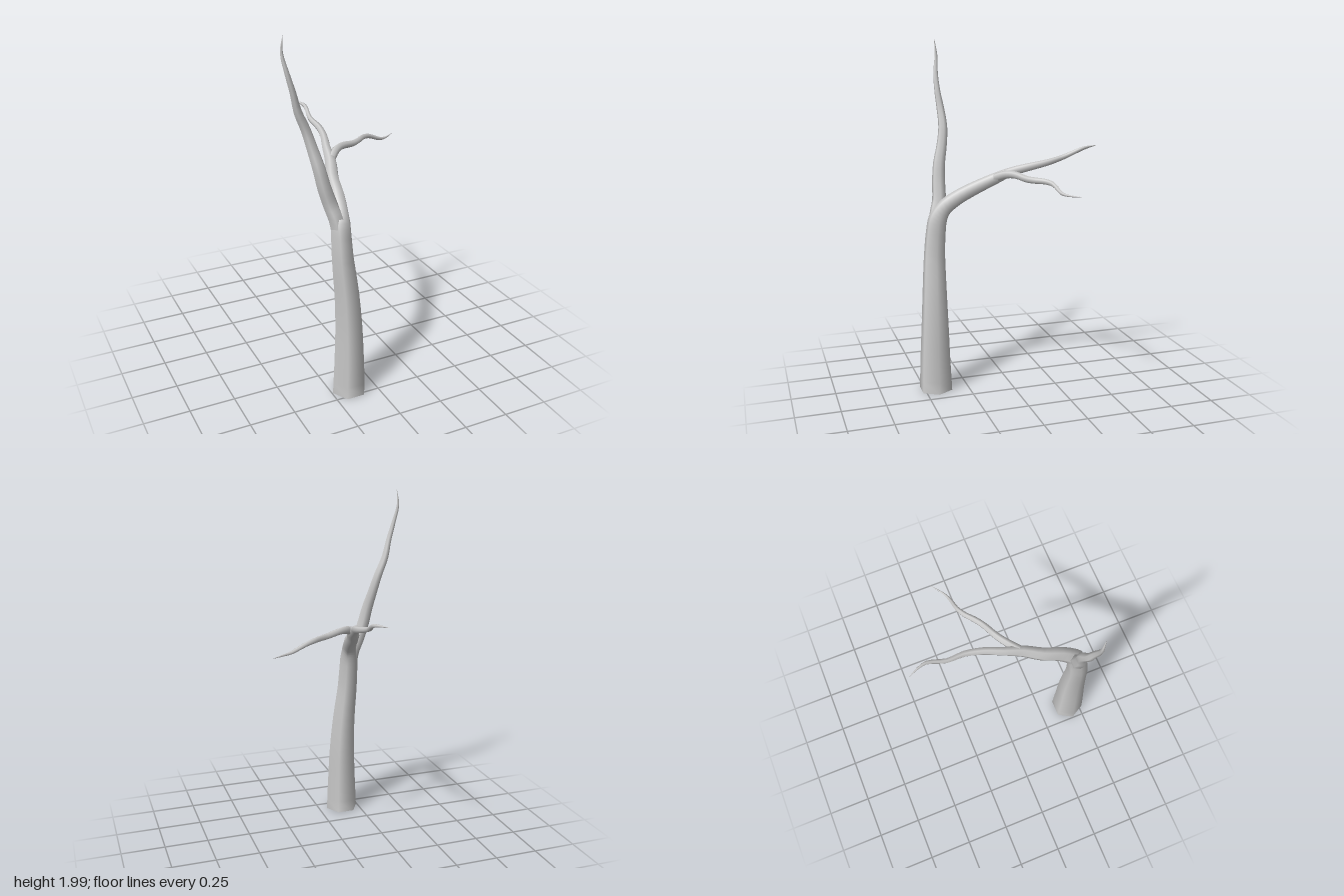
import * as THREE from 'three';

const SIDES = 6;
const STEPS = 3; // rings per control point

// Each control point is [x, y, z, radius]; lofts a tapering hexagonal limb through them.
function limb(name, points, material, capped = false) {
  const curve = new THREE.CatmullRomCurve3(points.map(p => new THREE.Vector3(p[0], p[1], p[2])));
  const rings = (points.length - 1) * STEPS;
  const pos = [], idx = [];
  const u = new THREE.Vector3(1, 0, 0), v = new THREE.Vector3();
  for (let i = 0; i <= rings; i++) {
    const c = curve.getPoint(i / rings);
    const t = curve.getTangent(i / rings);
    const k = Math.min(Math.floor(i / STEPS), points.length - 2);
    const r = THREE.MathUtils.lerp(points[k][3], points[k + 1][3], i / STEPS - k);
    // the ground ring stays level
    if (capped && i === 0) t.set(0, 1, 0);
    // carry the section along the path without twisting
    u.addScaledVector(t, -u.dot(t)).normalize();
    v.crossVectors(t, u);
    for (let j = 0; j < SIDES; j++) {
      const a = (j / SIDES) * Math.PI * 2;
      const q = c.clone().addScaledVector(u, Math.cos(a) * r).addScaledVector(v, Math.sin(a) * r);
      pos.push(q.x, q.y, q.z);
      if (i < rings) {
        const n = (j + 1) % SIDES, lo = i * SIDES, hi = lo + SIDES;
        idx.push(lo + j, lo + n, hi + j, lo + n, hi + n, hi + j);
      }
    }
  }
  const geo = new THREE.BufferGeometry();
  geo.setAttribute('position', new THREE.Float32BufferAttribute(pos, 3));
  geo.setIndex(idx);
  geo.computeVertexNormals();
  const mesh = new THREE.Mesh(geo, material);
  mesh.name = name;
  return mesh;
}

export function createModel() {
  const tree = new THREE.Group();
  tree.name = 'bareTree';
  const bark = new THREE.MeshStandardMaterial({ color: 0xcccccc });

  // trunk, bending over into the long rear branch
  tree.add(limb('trunkAndRearBranch', [
    [-0.147, 0, 0.435, 0.098],
    [-0.147, 0.2, 0.435, 0.089],
    [-0.149, 0.4, 0.432, 0.08],
    [-0.16, 0.6, 0.428, 0.071],
    [-0.179, 0.8, 0.42, 0.062],
    [-0.183, 0.92, 0.41, 0.058],
    [-0.182, 1.0, 0.397, 0.055],
    [-0.172, 1.06, 0.365, 0.046],
    [-0.155, 1.115, 0.3, 0.042],
    [-0.136, 1.17, 0.2, 0.038],
    [-0.098, 1.222, 0.1, 0.033],
    [-0.076, 1.265, 0, 0.025],
    [-0.045, 1.293, -0.1, 0.022],
    [-0.03, 1.315, -0.2, 0.018],
    [-0.04, 1.34, -0.3, 0.014],
    [-0.026, 1.382, -0.4, 0.011],
    [-0.04, 1.391, -0.45, 0.007],
    [-0.07, 1.393, -0.51, 0.001],
  ], bark, true));

  // tall branch rising from the fork
  tree.add(limb('tallBranch', [
    [-0.19, 0.95, 0.405, 0.045],
    [-0.205, 1.03, 0.395, 0.043],
    [-0.228, 1.1, 0.377, 0.04],
    [-0.26, 1.2, 0.37, 0.038],
    [-0.283, 1.3, 0.36, 0.035],
    [-0.307, 1.4, 0.337, 0.03],
    [-0.335, 1.5, 0.322, 0.026],
    [-0.377, 1.6, 0.324, 0.022],
    [-0.404, 1.7, 0.334, 0.017],
    [-0.433, 1.8, 0.335, 0.013],
    [-0.455, 1.9, 0.326, 0.008],
    [-0.45, 1.985, 0.335, 0.001],
  ], bark));

  // thin side branch splitting off the rear branch
  tree.add(limb('sideBranch', [
    [-0.1, 1.225, 0.105, 0.022],
    [-0.07, 1.245, 0.07, 0.023],
    [-0.03, 1.26, 0.033, 0.022],
    [0.02, 1.262, 0, 0.02],
    [0.1, 1.251, -0.035, 0.018],
    [0.15, 1.25, -0.067, 0.017],
    [0.2, 1.25, -0.108, 0.015],
    [0.25, 1.242, -0.133, 0.013],
    [0.33, 1.21, -0.146, 0.01],
    [0.38, 1.204, -0.166, 0.006],
    [0.45, 1.206, -0.215, 0.001],
  ], bark));

  // flat underside of the trunk
  const base = new THREE.Mesh(new THREE.CircleGeometry(0.098, SIDES), bark);
  base.name = 'trunkBase';
  base.rotation.x = Math.PI / 2;
  base.position.set(-0.147, 0, 0.435);
  tree.add(base);

  return tree;
}
